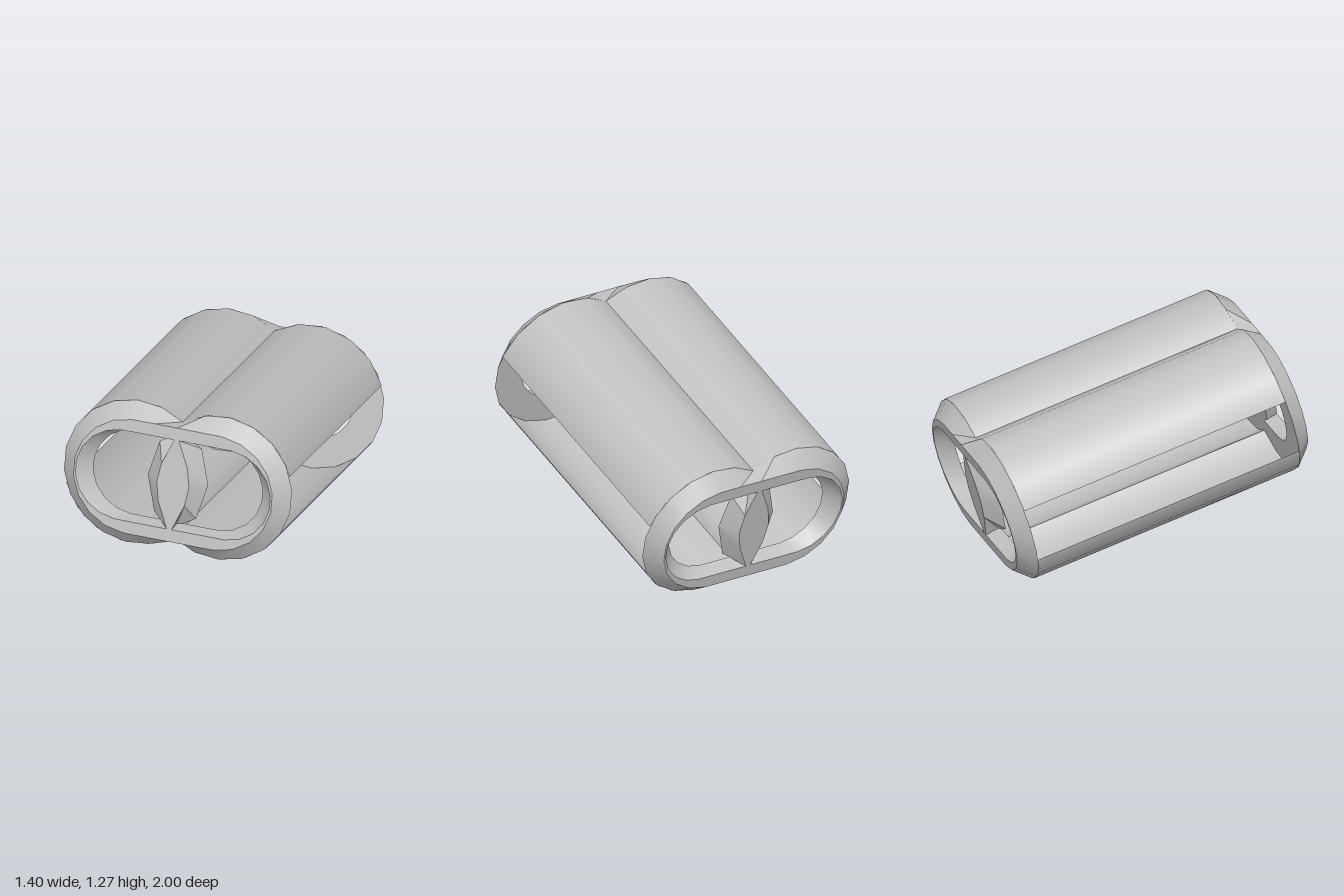
import * as THREE from 'three';
import { toCreasedNormals } from 'three/addons/utils/BufferGeometryUtils.js';

const CX = 0.26;            // lobe centre offset
const R = 0.447;            // lobe radius
const HALF = 0.849;         // half length of the barrels
const FACE = 0.945;         // outer plane of the end frames
const SEAM = Math.PI / 2 + Math.asin(CX / R); // lobe angle where the two lobes meet
const rad = THREE.MathUtils.degToRad;

// Skins closed loops of [x, y, z] points, section by section
function loft(sections, crease) {
  const pos = [];
  const n = sections[0].length;
  for (let s = 0; s < sections.length - 1; s++) {
    const lo = sections[s], hi = sections[s + 1];
    for (let i = 0; i < n; i++) {
      const j = (i + 1) % n;
      pos.push(...lo[i], ...lo[j], ...hi[j], ...lo[i], ...hi[j], ...hi[i]);
    }
  }
  const g = new THREE.BufferGeometry();
  g.setAttribute('position', new THREE.Float32BufferAttribute(pos, 3));
  g.computeVertexNormals();
  return toCreasedNormals(g, rad(crease));
}

// Two-lobed loop; a flat one runs straight across the middle
function lobeLoop(cx, r, z, flat) {
  const half = [], segs = 13;
  for (let i = 0; i < segs; i++) {
    const t = -SEAM + (2 * SEAM * i) / segs;
    const over = Math.abs(t) - Math.PI / 2;
    if (flat && over > 0) {
      half.push([cx * (1 - over / (SEAM - Math.PI / 2)), Math.sign(t) * r, z]);
    } else {
      half.push([cx + r * Math.cos(t), r * Math.sin(t), z]);
    }
  }
  return [...half, ...half.map(([x, y]) => [-x, -y, z])];
}

// Curved shell of one lobe, from its side edge height to the middle seam
function shellGeometry(edgeY) {
  const a0 = Math.asin(edgeY / R), segs = 5;
  const pos = [], nor = [], idx = [];
  for (let i = 0; i <= segs; i++) {
    const t = a0 + ((SEAM - a0) * i) / segs;
    for (const z of [-HALF, HALF]) {
      pos.push(CX + R * Math.cos(t), R * Math.sin(t), z);
      nor.push(Math.cos(t), Math.sin(t), 0);
    }
    if (i < segs) {
      const k = i * 2;
      idx.push(k, k + 2, k + 3, k, k + 3, k + 1);
    }
  }
  const g = new THREE.BufferGeometry();
  g.setAttribute('position', new THREE.Float32BufferAttribute(pos, 3));
  g.setAttribute('normal', new THREE.Float32BufferAttribute(nor, 3));
  g.setIndex(idx);
  return g;
}

// Mirrors a shell to the underside, keeping its winding and normals outward
function flipY(g) {
  const { position: p, normal: n } = g.attributes;
  for (let i = 0; i < p.count; i++) {
    p.setY(i, -p.getY(i));
    n.setY(i, -n.getY(i));
  }
  g.setIndex(Array.from(g.index.array).reverse());
  return g;
}

export function createModel() {
  const grey = new THREE.MeshStandardMaterial({ color: 0xc0c0c0, side: THREE.DoubleSide });
  grey.name = 'light grey';
  const model = new THREE.Group();
  model.name = 'twinBarrelFrame';
  const add = (name, geometry, parent) => {
    const mesh = new THREE.Mesh(geometry, grey);
    mesh.name = name;
    parent.add(mesh);
    return mesh;
  };

  const body = new THREE.Group();
  body.name = 'tiltedBody';
  body.position.y = 0.635;
  body.rotation.x = -rad(13.6);
  model.add(body);

  // Upper and lower shells with an open slot along each side
  for (const [side, turn] of [['left', 0], ['right', Math.PI]]) {
    const half = new THREE.Group();
    half.name = side + 'Shells';
    half.rotation.z = turn;
    body.add(half);
    add(turn ? 'lowerShell' : 'upperShell', shellGeometry(0.15), half);
    add(turn ? 'upperShell' : 'lowerShell', flipY(shellGeometry(0.19)), half);
  }

  // Bevelled end frames, each with a faceted central strut
  const rim = lobeLoop(CX, R, HALF, false);
  const ringGeometry = loft([
    rim,
    lobeLoop(CX, 0.357, FACE, true),
    lobeLoop(0.325, 0.28, FACE, true),
    lobeLoop(CX, 0.265, HALF, true),
    rim,
  ], 28);

  const outline = (pts, z) => {
    const half = pts.map(([x, y]) => [x, y, z]);
    return [...half, ...half.map(([x, y]) => [-x, -y, z])];
  };
  const base = outline([[0.01, -0.29], [0.13, -0.22], [0.187, 0], [0.13, 0.22], [0.01, 0.29]], HALF);
  const front = outline([[0.015, -0.28], [0.08, -0.12], [0.1, 0], [0.08, 0.12], [0.015, 0.28]], FACE);
  const centre = (z) => base.map(() => [0, 0, z]);
  const strutGeometry = loft([centre(HALF), base, front, centre(FACE)], 20);

  for (const [name, turn] of [['front', 0], ['back', Math.PI]]) {
    const end = new THREE.Group();
    end.name = name + 'End';
    end.rotation.y = turn;
    body.add(end);
    add('endFrame', ringGeometry, end);
    add('centreStrut', strutGeometry, end);
  }

  // Narrow rail under the upper shell
  const rail = add('innerRail', new THREE.BoxGeometry(0.105, 0.006, HALF * 2), body);
  rail.position.set(0.275, 0.262, 0);

  return model;
}
